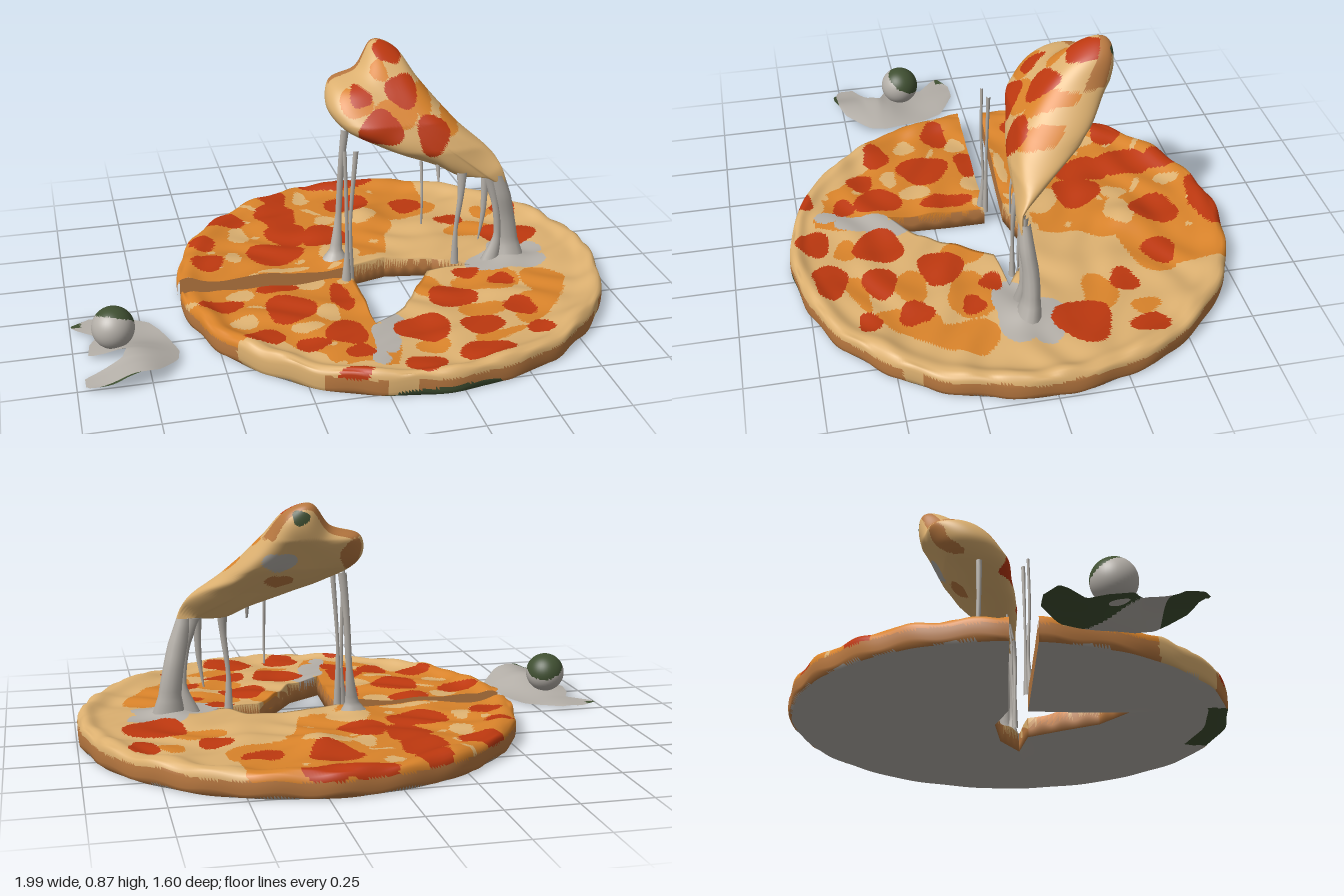
import * as THREE from 'three';
import { mergeVertices } from 'three/addons/utils/BufferGeometryUtils.js';

const mat = (name, color) => {
  const m = new THREE.MeshStandardMaterial({ color });
  m.name = name;
  return m;
};
const COLORS = [
  mat('pepperoni red', 0xbd380f), mat('sauce orange', 0xd9832a), mat('dough tan', 0xdcb070),
  mat('baked brown', 0xb87840), mat('cheese grey', 0xb4afa8), mat('herb green', 0x405032),
];
const [RED, ORANGE, TAN, BROWN, GREY, GREEN] = [0, 1, 2, 3, 4, 5];

const { sin, cos, max, min, hypot, PI } = Math;
const noise = (x, z) => sin(9 * x + 2 * sin(7 * z)) * sin(11 * z + 1.7 + sin(8 * x));
const bump = (x, z, cx, cz, s) => Math.exp(-((x - cx) ** 2 + (z - cz) ** 2) / (s * s));
const inSpot = (spots, x, y) => spots.some(([cx, cy, rx, ry]) => {
  const a = Math.atan2(y - cy, x - cx);
  return hypot((x - cx) / rx, (y - cy) / ry) < 1 + 0.1 * sin(3 * a + cx * 20);
});

// Linear lookup: rows of [key, value, value...]
function lookup(rows, t) {
  let i = 0;
  while (i < rows.length - 2 && t > rows[i + 1][0]) i++;
  const a = rows[i], b = rows[i + 1];
  const k = min(1, max(0, (t - a[0]) / (b[0] - a[0])));
  return a.slice(1).map((v, n) => v + (b[n + 1] - v) * k);
}

// Surface from a rule f(u, v) -> [x, y, z]
function surface(nu, nv, f) {
  const pos = [], idx = [];
  for (let i = 0; i <= nu; i++) for (let j = 0; j <= nv; j++) pos.push(...f(i / nu, j / nv));
  for (let i = 0; i < nu; i++) for (let j = 0; j < nv; j++) {
    const a = i * (nv + 1) + j, b = a + nv + 1;
    idx.push(a, a + 1, b + 1, a, b + 1, b);
  }
  let g = new THREE.BufferGeometry();
  g.setAttribute('position', new THREE.Float32BufferAttribute(pos, 3));
  g.setIndex(idx);
  g = mergeVertices(g, 1e-5);
  g.computeVertexNormals();
  return g;
}

// Sort faces into one group per colour
function paint(g, pick) {
  const p = g.attributes.position, src = g.index.array, bins = COLORS.map(() => []);
  for (let i = 0; i < src.length; i += 3) {
    const t = [src[i], src[i + 1], src[i + 2]];
    const mid = (get) => (get(t[0]) + get(t[1]) + get(t[2])) / 3;
    bins[pick(mid((k) => p.getX(k)), mid((k) => p.getY(k)), mid((k) => p.getZ(k)))].push(...t);
  }
  g.setIndex(bins.flat());
  let start = 0;
  bins.forEach((b, m) => {
    if (b.length) g.addGroup(start, b.length, m);
    start += b.length;
  });
  return g;
}

// Pizza: inner cut edge as [rim angle in degrees, x, z]
const CUT = [
  [-176.5, 0.05, -0.01], [-100, 0.2, -0.05], [-40, 0.38, -0.02], [10, 0.5, 0.06], [25, 0.33, 0.08],
  [50, 0.25, 0.2], [75, 0.17, 0.33], [106, 0.04, 0.42], [145, 0.05, 0.2], [176.7, 0.05, 0.06],
];
const PIZZA_SPOTS = [
  [0.18, -0.75, 0.16, 0.05], [0.18, -0.56, 0.09, 0.09], [-0.13, -0.52, 0.08, 0.12], [-0.34, -0.51, 0.08, 0.06],
  [-0.12, -0.36, 0.08, 0.1], [-0.46, -0.32, 0.05, 0.05], [-0.46, -0.17, 0.06, 0.06], [-0.2, -0.2, 0.11, 0.09],
  [0.02, -0.3, 0.09, 0.09], [-0.12, -0.67, 0.06, 0.07], [0.41, -0.51, 0.07, 0.06], [0.55, -0.34, 0.06, 0.05],
  [0.79, -0.37, 0.05, 0.07], [0.73, -0.15, 0.11, 0.1], [-0.25, 0.08, 0.08, 0.04], [-0.23, 0.25, 0.09, 0.1],
  [-0.46, 0.17, 0.08, 0.05], [-0.03, 0.2, 0.04, 0.1], [-0.35, 0.42, 0.07, 0.05], [-0.07, 0.45, 0.07, 0.09],
  [-0.2, 0.5, 0.06, 0.05], [0.36, 0.28, 0.09, 0.08], [0.2, 0.48, 0.1, 0.09], [0.58, 0.4, 0.06, 0.06],
  [0.4, 0.5, 0.08, 0.06], [0.6, 0.56, 0.05, 0.04], [0.36, 0.67, 0.1, 0.06], [0.14, 0.71, 0.07, 0.06],
  [0.58, 0.2, 0.05, 0.04], [0.47, 0.12, 0.05, 0.04], [-0.05, 0.58, 0.05, 0.04], [-0.1, 0.72, 0.06, 0.03],
];
// Sauce showing on the doughy half, and dough showing on the saucy half
const SAUCE = [
  [0.74, 0.27, 0.09, 0.14], [0.53, 0.2, 0.13, 0.08], [0.66, 0.45, 0.12, 0.12], [0.44, 0.4, 0.09, 0.06],
  [0.47, 0.6, 0.12, 0.06], [0.3, 0.2, 0.06, 0.08], [0.28, -0.66, 0.24, 0.13], [0.36, -0.5, 0.16, 0.12],
  [0.6, -0.24, 0.1, 0.06], [0.2, -0.55, 0.16, 0.2], [0.2, 0.6, 0.06, 0.04], [0.7, -0.38, 0.05, 0.05],
];
const DOUGH = [
  [-0.12, 0.08, 0.06, 0.04], [-0.38, 0.1, 0.05, 0.04], [-0.1, 0.3, 0.04, 0.06], [-0.4, 0.3, 0.05, 0.04], [-0.2, 0.39, 0.06, 0.03],
  [-0.31, -0.38, 0.04, 0.07], [0, -0.66, 0.03, 0.05], [-0.2, -0.05, 0.1, 0.02], [-0.36, -0.2, 0.03, 0.05], [0.04, -0.15, 0.08, 0.07],
  [0.05, -0.44, 0.04, 0.05], [0.18, -0.42, 0.09, 0.05],
];
const CHEESE = [[0.64, 0.06, 0.16, 0.08], [0.7, -0.02, 0.11, 0.08], [0.1, 0.42, 0.045, 0.09], [0.05, 0.53, 0.045, 0.1], [0, 0.64, 0.03, 0.06]];
const SECTION = [
  [0, 0.005], [0.4, 0.005], [0.8, 0.005], [0.9, 0.005], [0.98, 0.005], [0.995, 0.015], [0.998, 0.027],
  [1, 0.04], [1, 0.052], [0.999, 0.064], [0.997, 0.074], [0.99, 0.085],
];
for (let i = 0; i <= 55; i++) SECTION.push([0.975 * (1 - i / 55), null]);
SECTION.push([0, 0.04], [0, 0.005]);

function pizzaPoint(u, [v, y]) {
  const deg = -176.5 + 353.2 * u, a = deg * PI / 180;
  const [ix, iz] = lookup(CUT, deg), R = 0.795 + 0.005 * sin(17 * a) * sin(5 * a);
  const x = ix + (0.2 + R * cos(a) - ix) * v, z = iz + (R * sin(a) - iz) * v;
  const top = 0.078 + 0.009 * noise(1.7 * x, 1.7 * z) + 0.018 * bump(v, 0, 0.94, 0, 0.06)
    + 0.035 * bump(x, z, 0.2, -0.42, 0.08) + 0.03 * bump(x, z, 0.67, 0.03, 0.07) + 0.02 * bump(x, z, 0.03, -0.08, 0.06);
  return [x, y === null ? top : y + (y > 0.01 ? 0.006 * sin(23 * a) : 0), z];
}

function pizzaColor(x, y, z) {
  const r = hypot(x - 0.2, z), n = noise(x, z);
  if (r > 0.71 && y < 0.036 - 0.5 * (x - 0.22) ** 2 && z > 0.6 && x > -0.06 && x < 0.38) return GREEN;
  if (y < 0.012 && r < 0.785) return GREY;
  if (r > 0.775 && y < 0.062 + 0.012 * n) return n > 0.6 && z > 0.3 ? TAN : BROWN;
  if (y < 0.064) return BROWN;
  if (inSpot(PIZZA_SPOTS, x, z)) return RED;
  if (inSpot(CHEESE, x, z)) return GREY;
  const fine = noise(2.3 * x + 1, 2.3 * z);
  if (r > 0.7 + 0.03 * fine && z > 0.45) return TAN;
  const doughy = x + 0.06 * n > (z < -0.1 ? 0.25 : 0.06);
  if (doughy) return (r < 0.66 && inSpot(SAUCE, x, z)) || (z < -0.47 && x < 0.5) ? ORANGE : TAN;
  return inSpot(DOUGH, x, z) || fine > 0.9 ? TAN : ORANGE;
}

// Lifted slice: outline seen from the front, counter-clockwise
const OUTLINE = [
  [0, 0.68], [0.04, 0.62], [0.13, 0.57], [0.25, 0.52], [0.385, 0.47], [0.465, 0.43], [0.56, 0.42], [0.635, 0.385],
  [0.6, 0.5], [0.48, 0.61], [0.36, 0.75], [0.29, 0.85], [0.21, 0.875], [0.13, 0.79], [0.02, 0.75],
];
const SLICE_SPOTS = [[0.17, 0.63, 0.08, 0.06], [0.36, 0.6, 0.06, 0.07], [0.27, 0.74, 0.06, 0.05], [0.26, 0.85, 0.06, 0.03], [0.11, 0.73, 0.04, 0.03]];
const SLICE_SAUCE = [[0.09, 0.71, 0.06, 0.04], [0.24, 0.68, 0.08, 0.05], [0.34, 0.71, 0.04, 0.05], [0.43, 0.63, 0.04, 0.04], [0.2, 0.8, 0.03, 0.03]];
const BACK_BROWN = [[0.3, 0.59, 0.05, 0.025], [0.06, 0.69, 0.04, 0.06]];
// Rows: height, front z, back z
const DEPTH = [[0.4, 0.06, 0], [0.54, 0.045, -0.13], [0.64, 0, -0.25], [0.75, -0.1, -0.335], [0.875, -0.23, -0.38]];
const sliceDepth = (x, y) => {
  const [f, b] = lookup(DEPTH, y);
  return [f, min(f - 0.03, b + max(0, x - 0.45) * 0.5)];
};

function makeSlice() {
  const curve = new THREE.CatmullRomCurve3(OUTLINE.map(([x, y]) => new THREE.Vector3(x, y, 0)), true);
  const g = surface(140, 80, (u, v) => {
    const e = curve.getPoint(u % 1), s = cos(PI * v), r = sin(PI * v);
    const x = 0.25 + (e.x - 0.25) * r, y = 0.68 + (e.y - 0.68) * r;
    const [f, b] = sliceDepth(x, y);
    const side = Math.sign(s) * Math.sqrt(max(0, 1 - r ** 5));
    return [x, y, (f + b) / 2 + side * (f - b) / 2 + 0.006 * noise(2 * x, 2 * y) * r];
  });
  return paint(g, (x, y, z) => {
    const [f, b] = sliceDepth(x, y);
    if (z > (f + b) / 2) {
      if (inSpot(SLICE_SPOTS, x, y)) return RED;
      return inSpot(SLICE_SAUCE, x, y) ? ORANGE : TAN;
    }
    if (inSpot([[0.25, 0.83, 0.03, 0.025]], x, y)) return GREEN;
    if (inSpot([[0.31, 0.67, 0.06, 0.035]], x, y)) return GREY;
    return (y > 0.75 && z > b + 0.03) || inSpot(BACK_BROWN, x, y) ? BROWN : TAN;
  });
}

// Cheese strand through rows of [x, y, z, radius], listed upward
function strand(rows) {
  const path = new THREE.CatmullRomCurve3(rows.map(([x, y, z]) => new THREE.Vector3(x, y, z)));
  return surface(12, 20, (u, v) => {
    const c = path.getPoint(v), k = v * (rows.length - 1);
    const [r] = lookup(rows.map((q, i) => [i, q[3]]), k);
    return [c.x + r * cos(2 * PI * u), c.y, c.z + 0.75 * r * sin(2 * PI * u)];
  });
}
const STRANDS = [
  [[0.67, 0.08, 0.03, 0.06], [0.665, 0.15, 0.02, 0.042], [0.65, 0.25, 0.02, 0.038], [0.63, 0.34, 0.03, 0.036], [0.605, 0.43, 0.035, 0.028]],
  [[0.59, 0.08, 0.04, 0.035], [0.615, 0.18, 0.04, 0.014], [0.6, 0.32, 0.04, 0.013], [0.57, 0.43, 0.03, 0.025]],
  [[0.54, 0.17, 0.04, 0.003], [0.555, 0.28, 0.04, 0.01], [0.56, 0.43, 0.03, 0.016]],
  [[0.45, 0.08, 0.04, 0.016], [0.45, 0.22, 0.04, 0.008], [0.465, 0.36, 0.04, 0.012], [0.47, 0.45, 0.03, 0.02]],
  [[0.32, 0.25, 0.02, 0.004], [0.32, 0.36, 0.02, 0.005], [0.32, 0.5, 0, 0.006]],
  [[0.38, 0.42, 0.03, 0.003], [0.38, 0.5, 0.01, 0.01]],
  [[0.02, 0.06, 0.07, 0.02], [0.025, 0.2, 0.06, 0.007], [0.02, 0.4, 0.065, 0.007], [0.015, 0.59, 0.06, 0.007]],
  [[0.04, 0.06, 0.055, 0.015], [0.04, 0.3, 0.05, 0.006], [0.06, 0.58, 0.045, 0.01]],
  [[0.01, 0.07, -0.09, 0.06], [0.02, 0.12, -0.1, 0.025], [0.035, 0.25, -0.12, 0.012], [0.045, 0.45, -0.12, 0.012], [0.06, 0.6, -0.12, 0.016]],
];

// Curled leaf scrap: rows of [z, left x, right x]
const LEAF = [
  [0.03, -0.93, -0.85], [0.07, -1, -0.77], [0.1, -0.98, -0.72], [0.16, -0.91, -0.69], [0.22, -0.94, -0.67], [0.3, -0.95, -0.65],
  [0.34, -0.82, -0.64], [0.4, -0.84, -0.65], [0.44, -0.97, -0.68], [0.5, -0.97, -0.73], [0.53, -0.9, -0.83],
];
function leaf(flip) {
  return surface(40, 40, (a, b) => {
    const u = flip ? b : a, v = flip ? a : b, z = 0.03 + 0.5 * v;
    const [x0, x1] = lookup(LEAF, z), x = x0 + (x1 - x0) * u;
    const y = 0.01 + 0.055 * bump(x, min(z, 0.37), -0.79, 0.37, 0.12) + 0.005 * sin(14 * x + 9 * z) * sin(PI * u);
    return [x, max(0.004, y) - (flip ? 0.004 : 0), z];
  });
}

export function createModel() {
  const model = new THREE.Group();
  const add = (name, geometry, material = COLORS) => {
    const m = new THREE.Mesh(geometry, material);
    m.name = name;
    model.add(m);
  };

  const rows = SECTION.length - 1;
  add('pizza', paint(surface(440, rows, (u, v) => pizzaPoint(u, SECTION[Math.round(v * rows)])), pizzaColor));

  // Cut faces on both sides of the narrow gap
  for (const end of [0, 1]) {
    add(end ? 'frontCutFace' : 'backCutFace', surface(40, 1, (u, v) =>
      pizzaPoint(end, [0.985 * (end ? 1 - u : u), v ? null : 0.005])), COLORS[BROWN]);
  }

  add('liftedSlice', makeSlice());
  STRANDS.forEach((s, i) => add('cheeseStrand' + (i + 1), strand(s), COLORS[GREY]));

  // Scrap beside the pizza
  add('leafTop', paint(leaf(false), (x, y, z) => (z > 0.515 || (z < 0.08 && x < -0.96) ? GREEN : GREY)));
  add('leafUnderside', paint(leaf(true), (x, y, z) => (x + z > -0.5 && z < 0.42 ? GREY : GREEN)));
  const ball = new THREE.SphereGeometry(0.075, 40, 30).translate(-0.855, 0.092, 0.25);
  add('leafBall', paint(ball, (x, y, z) => (y - 0.092 - 0.6 * (z - 0.25) + 0.3 * (x + 0.855) > 0.035 ? GREEN : GREY)));

  return model;
}
